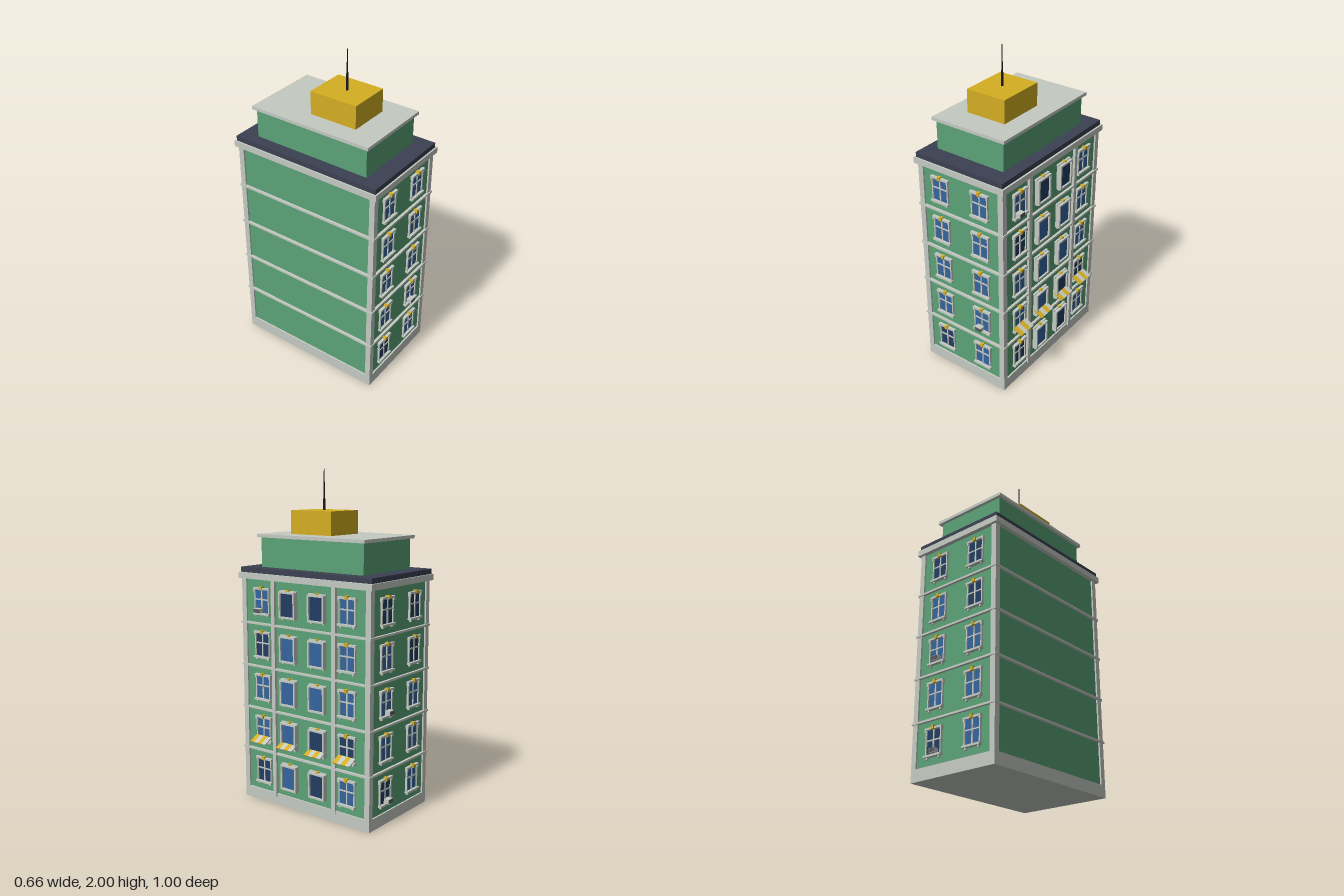
import * as THREE from 'three';

const mat = (name, color) => {
  const m = new THREE.MeshStandardMaterial({ color });
  m.name = name;
  return m;
};

export function createModel() {
  const green = mat('green wall', 0x5aa277);
  const trim = mat('pale stone', 0xc4cac2);
  const gold = mat('gold', 0xd4ae22);
  const navy = mat('dark roof', 0x3c4152);
  const glass = mat('blue glass', 0x34639c);
  const darkGlass = mat('dark glass', 0x223d63);
  const grey = mat('unit grey', 0x565b60);
  const black = mat('antenna black', 0x17191e);

  const model = new THREE.Group();
  model.name = 'building';

  // Box from its centre and size
  const box = (parent, name, m, x, y, z, w, h, d) => {
    const mesh = new THREE.Mesh(new THREE.BoxGeometry(w, h, d), m);
    mesh.name = name;
    mesh.position.set(x, y, z);
    parent.add(mesh);
    return mesh;
  };
  // Box from its limits along each axis
  const span = (name, m, x0, x1, y0, y1, z0, z1) =>
    box(model, name, m, (x0 + x1) / 2, (y0 + y1) / 2, (z0 + z1) / 2, x1 - x0, y1 - y0, z1 - z0);

  // Main block
  const L = -0.315, R = 0.275, Z = 0.47, inset = 0.01;
  span('plinth', trim, L, R, 0, 0.07, -Z, Z);
  span('walls', green, L + inset, R - inset, 0.07, 1.37, -Z + inset, Z - inset);
  for (const x of [L, R - 0.034])
    for (const z of [-Z, Z - 0.034])
      span('cornerPilaster', trim, x, x + 0.034, 0.07, 1.37, z, z + 0.034);
  for (const z of [0.224, -0.221])
    span('sidePilaster', trim, R - 0.02, R + 0.007, 0.05, 1.37, z - 0.013, z + 0.013);
  for (let i = 0; i < 4; i++) {
    const y = 0.322 + i * 0.26;
    span('floorBand', trim, L - 0.006, R + 0.006, y - 0.006, y + 0.006, -Z - 0.006, Z + 0.006);
  }

  // Cornice, roof, penthouse and roof box
  span('cornice', trim, -0.331, 0.289, 1.365, 1.401, -0.486, 0.486);
  span('roofSlab', navy, -0.321, 0.277, 1.401, 1.431, -0.476, 0.476);
  span('penthouse', green, -0.252, 0.206, 1.431, 1.606, -0.371, 0.371);
  span('penthouseRoof', trim, -0.27, 0.225, 1.606, 1.625, -0.39, 0.39);
  span('roofBox', gold, -0.15, 0.105, 1.625, 1.763, -0.07, 0.228);

  // Antenna in two tapering steps
  for (const [r0, r1, y0, y1] of [[0.007, 0.005, 1.763, 1.88], [0.0035, 0.0025, 1.88, 2]]) {
    const rod = new THREE.Mesh(new THREE.CylinderGeometry(r1, r0, y1 - y0, 10), black);
    rod.name = 'antenna';
    rod.position.set(-0.022, (y0 + y1) / 2, 0.08);
    model.add(rod);
  }

  // Windows are built facing +z with the wall at z = 0
  const barredWindow = (pane) => {
    const g = new THREE.Group();
    g.name = 'barredWindow';
    box(g, 'pane', pane, 0, 0, 0.001, 0.104, 0.15, 0.008);
    box(g, 'verticalBar', trim, 0, 0, 0.005, 0.009, 0.15, 0.01);
    box(g, 'crossBar', trim, 0, 0.012, 0.005, 0.104, 0.008, 0.009);
    box(g, 'lintel', trim, 0, 0.076, 0.009, 0.124, 0.012, 0.018);
    box(g, 'sill', trim, 0, -0.073, 0.011, 0.124, 0.012, 0.022);
    box(g, 'keystone', gold, 0, 0.079, 0.012, 0.018, 0.021, 0.024);
    for (const s of [-1, 1]) {
      box(g, 'jamb', trim, s * 0.053, 0, 0.006, 0.008, 0.15, 0.012);
      box(g, 'lintelEar', trim, s * 0.056, 0.066, 0.008, 0.011, 0.018, 0.016);
      box(g, 'sillBracket', trim, s * 0.044, -0.084, 0.007, 0.01, 0.012, 0.014);
    }
    return g;
  };
  const bayWindow = (pane) => {
    const g = new THREE.Group();
    g.name = 'bayWindow';
    box(g, 'pane', pane, 0, -0.002, 0.01, 0.1, 0.14, 0.02);
    for (const s of [-1, 1]) {
      box(g, 'frameSide', trim, s * 0.053, -0.002, 0.0155, 0.011, 0.155, 0.031);
      box(g, 'frameRail', trim, 0, s * 0.0725 - 0.002, 0.0155, 0.106, 0.011, 0.031);
      box(g, 'frameFoot', trim, s * 0.045, -0.085, 0.007, 0.01, 0.012, 0.014);
    }
    box(g, 'lintel', trim, 0, 0.077, 0.007, 0.124, 0.008, 0.014);
    box(g, 'keystone', gold, 0, 0.081, 0.01, 0.018, 0.009, 0.02);
    return g;
  };

  // Cooling unit resting on a sill
  const coolingUnit = (g, x) => {
    box(g, 'coolingUnit', trim, x, -0.053, 0.019, 0.044, 0.026, 0.038);
    box(g, 'coolingGrille', grey, x, -0.053, 0.0385, 0.04, 0.022, 0.003);
  };

  // Sloping striped awning
  const awning = (g) => {
    const slope = new THREE.Group();
    slope.name = 'awning';
    for (let i = 0; i < 4; i++)
      box(slope, 'awningStripe', i % 2 ? trim : gold, (i - 1.5) * 0.03, 0, 0, 0.03, 0.006, 0.066);
    slope.position.set(0, -0.058, 0.036);
    slope.rotation.x = 0.47;
    g.add(slope);
  };

  const floorY = (f) => 0.195 + f * 0.26;
  const place = (g, x, f, z, turn) => {
    g.position.set(x, floorY(f), z);
    g.rotation.y = turn;
    model.add(g);
  };

  // Front and back windows; dark panes and units keyed by column and floor
  const endWalls = [
    { z: Z - inset, turn: 0, dark: ['0,0'], units: ['1,1'], shift: -0.012 },
    { z: -Z + inset, turn: Math.PI, dark: ['0,4', '1,4', '0,3', '1,0'], units: ['1,0', '1,2'], shift: 0.012 },
  ];
  for (const { z, turn, dark, units, shift } of endWalls)
    [-0.162, 0.115].forEach((x, c) => {
      for (let f = 0; f < 5; f++) {
        const key = `${c},${f}`;
        const g = barredWindow(dark.includes(key) ? darkGlass : glass);
        if (units.includes(key)) coolingUnit(g, shift);
        place(g, x, f, z, turn);
      }
    });

  // Right side windows, bays in the two middle columns
  const sideDark = ['0,0', '2,0', '2,1', '3,1', '0,3', '1,4', '2,4'];
  [0.314, 0.108, -0.104, -0.312].forEach((z, c) => {
    for (let f = 0; f < 5; f++) {
      const key = `${c},${f}`;
      const pane = sideDark.includes(key) ? darkGlass : glass;
      const g = c === 1 || c === 2 ? bayWindow(pane) : barredWindow(pane);
      if (f === 1) awning(g);
      if (key === '0,4') coolingUnit(g, -0.018);
      place(g, R - inset, f, z, Math.PI / 2);
    }
  });

  return model;
}
